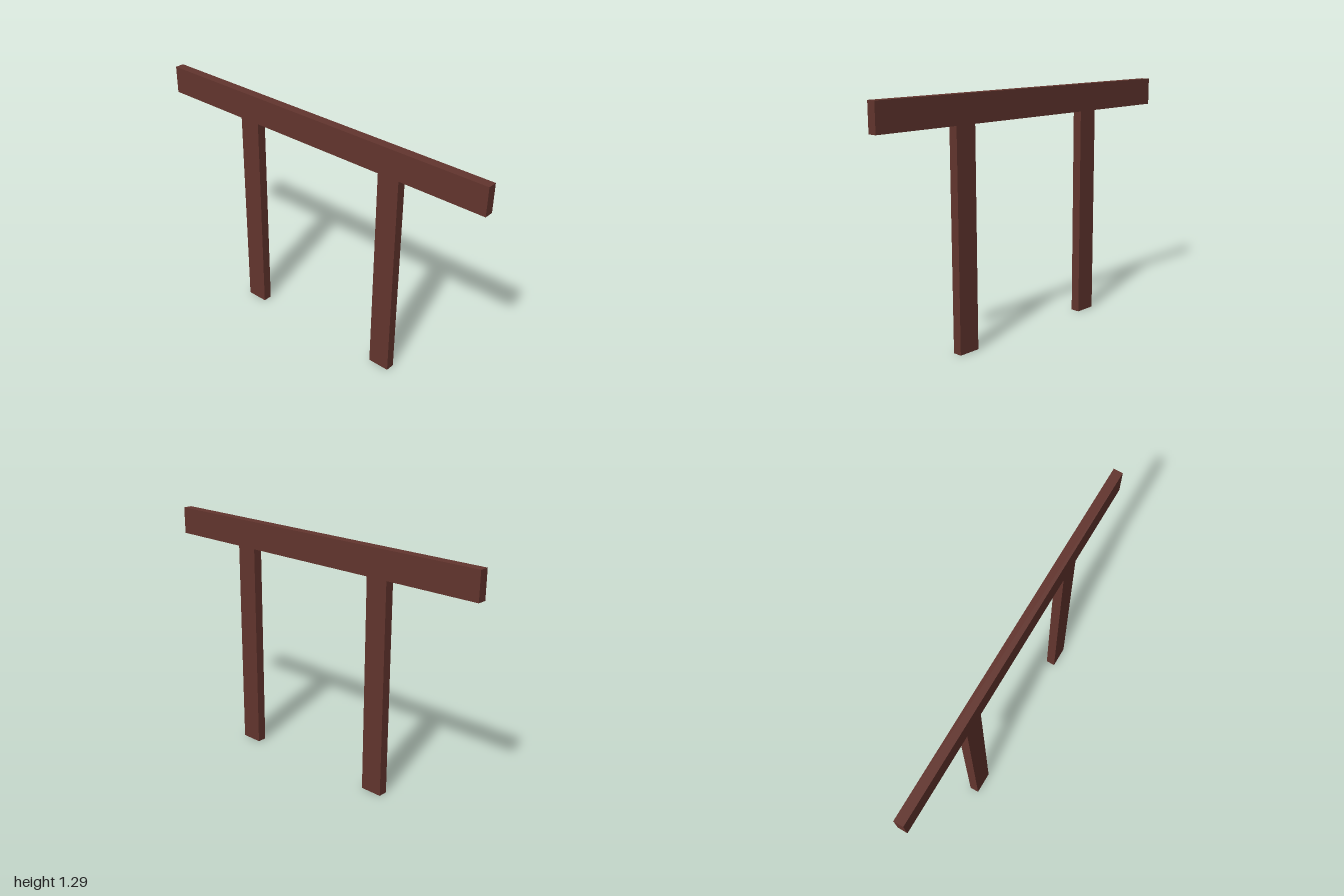
import * as THREE from 'three';

const THICKNESS = 0.05;
const LEG_HEIGHT = 1.14;
const TOP = 1.288;

export function createModel() {
  const model = new THREE.Group();
  model.name = 'postAndRailFrame';
  const wood = new THREE.MeshStandardMaterial({ color: 0x63352e });
  wood.name = 'dark red wood';

  // Box spanning the full thickness between the given heights and depths
  function plank(name, y0, y1, z0, z1) {
    const mesh = new THREE.Mesh(new THREE.BoxGeometry(THICKNESS, y1 - y0, z1 - z0), wood);
    mesh.name = name;
    mesh.position.set(0, (y0 + y1) / 2, (z0 + z1) / 2);
    model.add(mesh);
  }

  // Long top rail
  plank('topRail', LEG_HEIGHT, TOP, -1, 1);

  // Two posts, set slightly off centre
  plank('frontPost', 0, LEG_HEIGHT, 0.415, 0.535);
  plank('backPost', 0, LEG_HEIGHT, -0.493, -0.373);

  return model;
}
